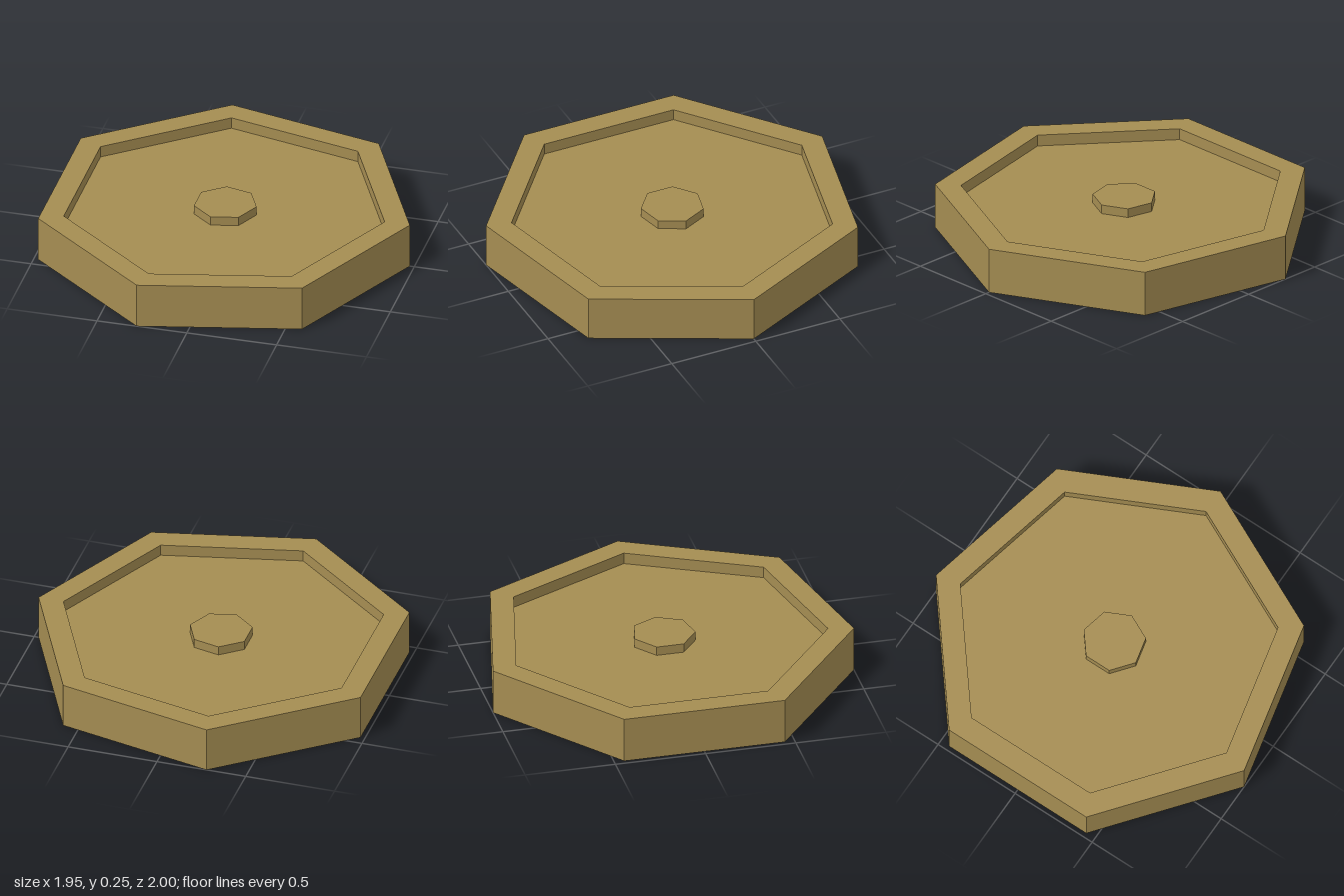
import * as THREE from 'three';
import { mergeGeometries } from 'three/addons/utils/BufferGeometryUtils.js';

const SIDES = 7;
const HEIGHT = 0.255;
const OUTER = 1.026, INNER = 0.886, HUB = 0.173; // corner radii
const FLOOR_LOW = 0.064, FLOOR_HIGH = HEIGHT - FLOOR_LOW; // web faces
const HUB_LOW = 0.013, HUB_HIGH = HEIGHT - HUB_LOW; // hub caps

// Faceted seven-sided surface from one or more [radius, y] profiles, corner towards +x
function facetedPart(name, material, ...profiles) {
  const pieces = profiles.map((profile) => {
    const points = profile.map(([r, y]) => new THREE.Vector2(r, y));
    return new THREE.LatheGeometry(points, SIDES).rotateY(Math.PI / 2).toNonIndexed();
  });
  const geometry = mergeGeometries(pieces);
  geometry.computeVertexNormals();
  const mesh = new THREE.Mesh(geometry, material);
  mesh.name = name;
  return mesh;
}

export function createModel() {
  const model = new THREE.Group();
  model.name = 'heptagonalDisc';
  const bronze = new THREE.MeshStandardMaterial({ color: 0xa58d52, flatShading: true });

  // Raised border with inner walls on both faces
  const rim = facetedPart('rim', bronze, [
    [INNER, FLOOR_LOW], [INNER, 0], [OUTER, 0],
    [OUTER, HEIGHT], [INNER, HEIGHT], [INNER, FLOOR_HIGH],
  ]);

  // Recessed faces, below and above
  const web = facetedPart('recessedWeb', bronze,
    [[HUB, FLOOR_LOW], [INNER, FLOOR_LOW]],
    [[INNER, FLOOR_HIGH], [HUB, FLOOR_HIGH]],
  );

  // Central boss standing out of both recesses
  const hub = facetedPart('hub', bronze,
    [[0, HUB_LOW], [HUB, HUB_LOW], [HUB, FLOOR_LOW]],
    [[HUB, FLOOR_HIGH], [HUB, HUB_HIGH], [0, HUB_HIGH]],
  );

  model.add(rim, web, hub);
  // Centre the bounds: a heptagon reaches further at its corner than at its flat
  model.position.x = -OUTER * (1 - Math.cos(Math.PI / SIDES)) / 2;
  return model;
}
